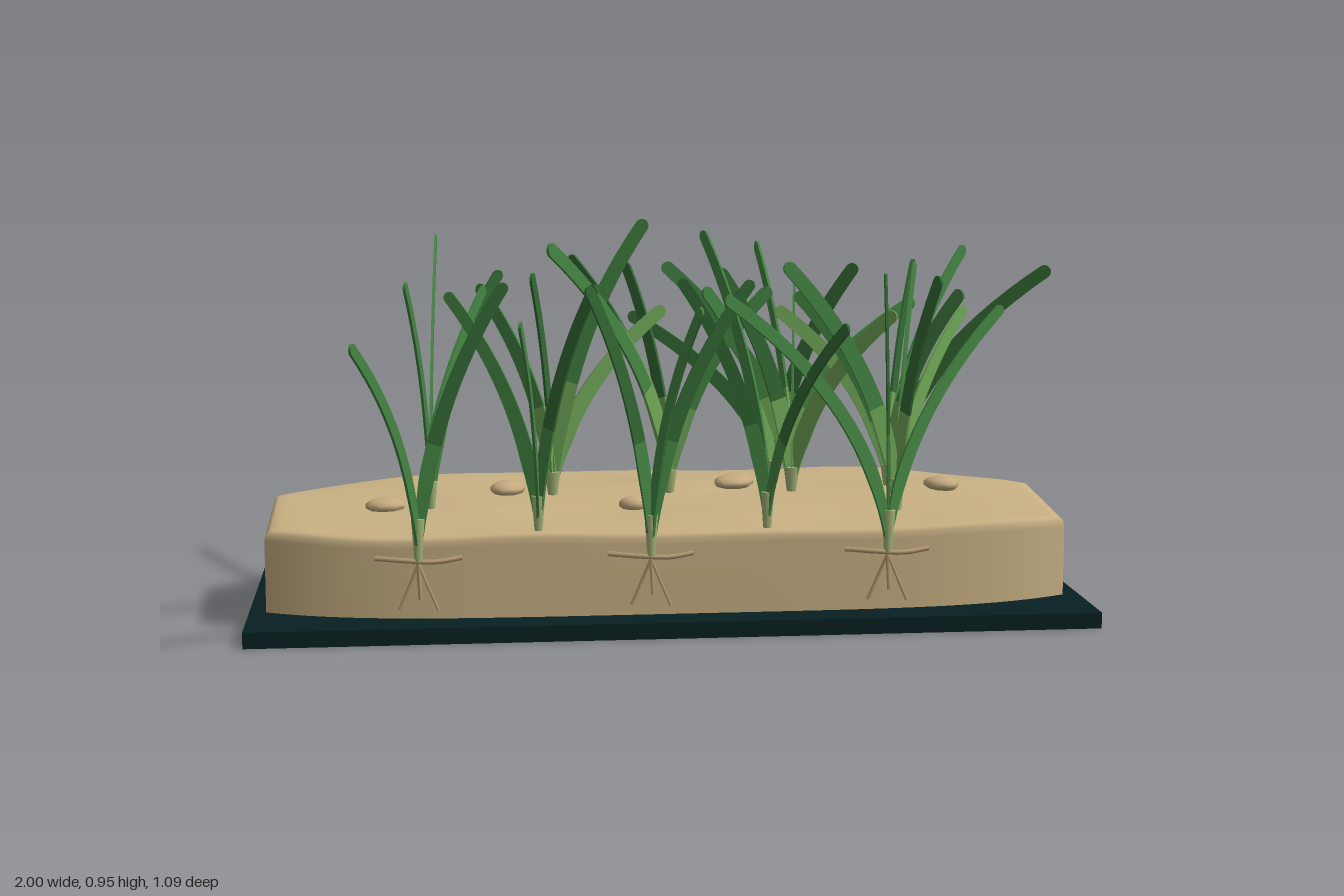
import * as THREE from 'three';

const mat = (name, color) => {
  const m = new THREE.MeshStandardMaterial({ color });
  m.name = name;
  return m;
};
const M = {
  slab: mat('dark teal slab', 0x071f21),
  sand: mat('sand', 0xc8b083),
  pebble: mat('pebble', 0xc6ab80),
  root: mat('root tan', 0xb59a72),
  sheath: mat('pale sheath', 0xa3b577),
  young: mat('light leaf', 0x70a857),
  leaf: mat('mid leaf', 0x448643),
  dark: mat('dark leaf', 0x336a34),
};

function add(parent, name, geometry, material) {
  const mesh = new THREE.Mesh(geometry, material);
  mesh.name = name;
  parent.add(mesh);
  return mesh;
}

// Height of the sand surface: rises to the back, with soft ripples
function ground(x, z) {
  const rise = THREE.MathUtils.clamp((0.19 - z) / 0.42, 0, 1);
  return 0.232 + 0.036 * rise + 0.005 * Math.sin(x * 9 + z * 7) * Math.cos(z * 11 - x * 2)
    - 0.012 * Math.pow(Math.abs(x), 4);
}

// Sand bank: outline rings going up the wall, over a soft edge and in to the middle
function sandGeometry() {
  const outline = [], half = 48, n = half * 2 + 2, cz = -0.14;
  for (const side of [-1, 1]) {
    for (let i = 0; i <= half; i++) {
      const u = side * Math.cos(Math.PI * i / half), bend = Math.pow(Math.abs(u), 4.7);
      outline.push([0.96 * u, side < 0 ? -0.48 + 0.235 * bend : 0.193 - 0.11 * bend]);
    }
  }
  const rings = [[1, 0.2], [1, 0.025], [0.996, 0.01], [0.985, 0.002]]; // scale, drop below surface
  for (let k = 0; k <= 12; k++) rings.push([0.96 * (1 - k / 12), 0]);
  const pos = [], index = [];
  rings.forEach(([s, drop], k) => {
    outline.forEach(([ox, oz], j) => {
      const x = ox * s, z = cz + (oz - cz) * s;
      pos.push(x, k === 0 ? 0.036 : ground(x, z) - drop, z);
      if (k === 0) return;
      const a = (k - 1) * n + j, b = (k - 1) * n + (j + 1) % n;
      const c = k * n + j, d = k * n + (j + 1) % n;
      index.push(a, c, b, b, c, d);
    });
  });
  const g = new THREE.BufferGeometry();
  g.setAttribute('position', new THREE.Float32BufferAttribute(pos, 3));
  g.setIndex(index);
  g.computeVertexNormals();
  return g;
}

// Part of a flat strap leaf, lying in the upright plane of its own bend
function leafGeometry(reach, height, width, from, to) {
  const path = new THREE.QuadraticBezierCurve(new THREE.Vector2(0, 0),
    new THREE.Vector2(reach * 0.12, height * 0.55), new THREE.Vector2(reach, height));
  const left = [], right = [], tip = [];
  for (let i = 0; i <= 10; i++) {
    const t = from + (to - from) * i / 10;
    const p = path.getPoint(t), d = path.getTangent(t);
    // narrow foot, widest low down, slightly slimmer towards the tip
    const w = width / 2 * (0.6 + 0.6 * Math.min(1, t / 0.25) - 0.4 * Math.max(0, t - 0.25));
    left.unshift(new THREE.Vector2(p.x - d.y * w, p.y + d.x * w));
    right.push(new THREE.Vector2(p.x + d.y * w, p.y - d.x * w));
  }
  if (to === 1) { // rounded end
    const p = path.getPoint(1), a0 = path.getTangent(1).angle() - Math.PI / 2;
    for (let i = 1; i < 7; i++) {
      const a = a0 + Math.PI * i / 7, r = width * 0.45;
      tip.push(new THREE.Vector2(p.x + Math.cos(a) * r, p.y + Math.sin(a) * r));
    }
  }
  const g = new THREE.ExtrudeGeometry(new THREE.Shape([...right, ...tip, ...left]),
    { depth: 0.006, bevelEnabled: false });
  return g.translate(0, 0, -0.003);
}

// One plant: sheath, two long leaves given by their tips, and shorter leaves fanned around
function plant([x, z, ...tips], i) {
  const g = new THREE.Group();
  g.name = 'grassPlant';
  const bare = z > 0.2, thin = z > 0.1 || x < -0.5;
  const width = thin ? 0.03 : 0.036;
  const y = bare ? 0.18 : ground(x, z) - 0.01, top = bare ? 0.28 : 0.32;
  add(g, 'sheath', new THREE.CylinderGeometry(width * 0.55, width * 0.3, top - y, 10), M.sheath)
    .position.set(x, (y + top) / 2, z);

  const all = [[M.leaf, ...tips.slice(0, 3)], [i % 3 === 1 ? M.dark : M.leaf, ...tips.slice(3)]];
  for (let k = 0; k < (thin ? 1 : 3); k++) {
    const a = i * 2.4 + k * 2.1, r = 0.2 + 0.04 * k;
    const color = k === 0 ? M.dark : k === 1 ? M.leaf : M.young;
    all.push([color, x + Math.cos(a) * r, 0.82 - 0.05 * k, z + Math.sin(a) * r * 0.8]);
  }
  for (const [color, tx, ty, tz] of all) {
    const reach = Math.hypot(tx - x, tz - z), height = ty - y - 0.04;
    const leaf = new THREE.Group();
    leaf.name = 'leaf';
    leaf.position.set(x, y + 0.03, z);
    leaf.rotation.y = Math.atan2(z - tz, tx - x);
    add(leaf, 'leafBase', leafGeometry(reach, height, width, 0, 0.38), thin ? M.leaf : M.young);
    add(leaf, 'leafBlade', leafGeometry(reach, height, width, 0.38, 1), color);
    g.add(leaf);
  }
  return g;
}

// Bare roots and runner on the cut front face
function roots(x, z) {
  const g = new THREE.Group();
  g.name = 'roots';
  const strand = (name, r, ...pts) => add(g, name, new THREE.TubeGeometry(
    new THREE.CatmullRomCurve3(pts.map(([px, py, pz]) => new THREE.Vector3(x + px, py, z + pz))), 10, r, 6), M.root);
  strand('runner', 0.006, [-0.1, 0.186, -0.015], [-0.03, 0.182, 0], [0.04, 0.178, 0], [0.1, 0.184, -0.015]);
  strand('mainRoot', 0.005, [0, 0.25, 0], [0, 0.17, 0], [0.004, 0.09, 0.004]);
  for (const s of [-1, 1]) {
    strand('sideRoot', 0.004, [0, 0.175, 0], [s * 0.02, 0.125, s * 0.006], [s * 0.045, 0.065, s * 0.008]);
  }
  return g;
}

export function createModel() {
  const model = new THREE.Group();
  model.name = 'seagrassBed';

  add(model, 'baseSlab', new THREE.BoxGeometry(2, 0.038, 0.765), M.slab).position.set(0, 0.019, -0.1);
  add(model, 'sandBank', sandGeometry(), M.sand);

  // Flat pebbles: x, z, radius
  [[-0.68, -0.08, 0.05], [-0.38, -0.2, 0.054], [-0.08, -0.05, 0.037], [0.19, -0.23, 0.057], [0.71, -0.17, 0.05]]
    .forEach(([x, z, r], i) => {
      const p = add(model, 'pebble', new THREE.SphereGeometry(1, 9, 7), M.pebble);
      p.scale.set(r, 0.02, r * 0.82);
      p.rotation.y = i * 1.3;
      p.position.set(x, ground(x, z) + 0.008, z);
    });

  // Plants: root x, z, then the tips of the two longest leaves
  [
    [-0.6, 0.21, -0.73, 0.72, 0.53, -0.44, 0.79, -0.05],
    [-0.06, 0.21, 0.03, 0.78, 0.42, 0.17, 0.82, 0.19],
    [0.5, 0.21, 0.09, 0.81, 0.46, 0.8, 0.74, 0.03],
    [-0.32, 0.16, -0.37, 0.76, 0.49, -0.52, 0.79, 0.1],
    [0.22, 0.16, 0.09, 0.92, -0.03, 0.34, 0.75, 0.51],
    [-0.57, -0.06, -0.55, 0.88, -0.53, -0.62, 0.82, 0.18],
    [-0.27, -0.17, -0.28, 0.64, -0.52, -0.05, 0.94, -0.13],
    [0.02, -0.17, -0.29, 0.91, 0.26, -0.2, 0.83, -0.46],
    [0.3, -0.29, -0.04, 0.68, -0.49, 0.66, 0.72, -0.36],
    [0.33, -0.18, 0.28, 0.86, -0.47, 0.02, 0.83, -0.2],
    [0.58, -0.2, 0.81, 0.85, -0.42, 0.95, 0.82, -0.12],
    [0.56, 0.01, 0.28, 0.85, 0.09, 0.65, 0.82, -0.25],
  ].forEach((p, i) => model.add(plant(p, i)));

  for (const x of [-0.6, -0.06, 0.5]) model.add(roots(x, 0.21));
  return model;
}
